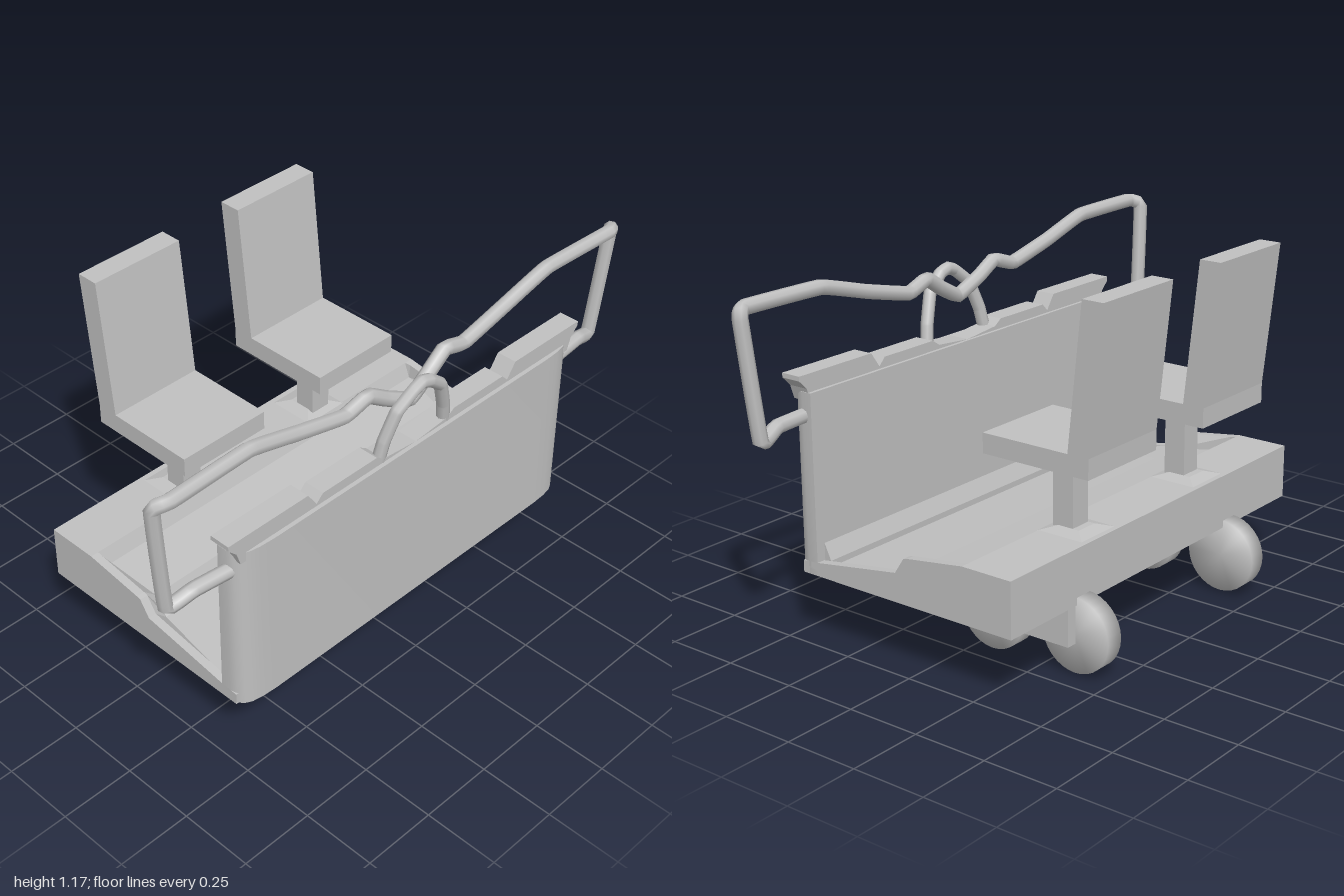
import * as THREE from 'three';
import { mergeVertices, toCreasedNormals } from 'three/addons/utils/BufferGeometryUtils.js';

export function createModel() {
  const model = new THREE.Group();
  model.name = 'twoSeatCart';
  const grey = new THREE.MeshStandardMaterial({ color: 0xc0c0c0, side: THREE.DoubleSide });
  grey.name = 'plain grey';

  const add = (name, geometry, x = 0, y = 0, z = 0) => {
    const mesh = new THREE.Mesh(geometry, grey);
    mesh.name = name;
    mesh.position.set(x, y, z);
    model.add(mesh);
    return mesh;
  };
  const extrude = (points, depth) => {
    const shape = new THREE.Shape(points.map(([x, y]) => new THREE.Vector2(x, y)));
    return new THREE.ExtrudeGeometry(shape, { depth, bevelEnabled: false }).translate(0, 0, -depth / 2);
  };
  const mirrored = (half) => [...half, ...half.filter(([u]) => u !== 0).reverse().map(([u, v]) => [-u, v])];

  // Chassis: stations of x, rim height, floor height, floor half width
  const stations = [
    [-0.38, 0.407, 0.407, 0.7], [-0.2, 0.407, 0.407, 0.7], [-0.18, 0.404, 0.355, 0.7],
    [0.01, 0.377, 0.335, 0.66], [0.025, 0.373, 0.3, 0.66], [0.06, 0.32, 0.28, 0.665],
    [0.38, 0.27, 0.25, 0.7], [0.44, 0.265, 0.25, 0.7],
  ];
  const base = 0.226, side = 0.733, rim = 0.705;
  const positions = [];
  const loops = stations.map(([x, top, floor, w]) => [
    [x, base, -side], [x, top, -side], [x, top, -rim], [x, floor, -w],
    [x, floor, w], [x, top, rim], [x, top, side], [x, base, side],
  ]);
  for (let i = 0; i < loops.length - 1; i++) {
    for (let k = 0; k < 8; k++) {
      const n = (k + 1) % 8;
      const [a, b, c, d] = [loops[i][k], loops[i][n], loops[i + 1][k], loops[i + 1][n]];
      positions.push(...a, ...b, ...c, ...b, ...d, ...c);
    }
  }
  const r = loops[0];
  positions.push(...r[0], ...r[6], ...r[1], ...r[0], ...r[7], ...r[6]);
  const chassis = new THREE.BufferGeometry();
  chassis.setAttribute('position', new THREE.Float32BufferAttribute(positions, 3));
  chassis.computeVertexNormals();
  add('chassis', chassis);
  add('floorFillet', extrude([[0.355, 0.25], [0.39, 0.25], [0.39, 0.325], [0.38, 0.325], [0.355, 0.272]], 1.4));

  // Front panel with rounded outer corners
  const footprint = [
    [0.38, 0.733], [0.415, 0.733], [0.437, 0.727], [0.455, 0.712],
    [0.466, 0.69], [0.472, 0.655], [0.475, 0.6],
  ];
  const outline = [...footprint, ...footprint.slice().reverse().map(([x, z]) => [x, -z])];
  const panel = extrude(outline, 0.586).rotateX(-Math.PI / 2).translate(0, base + 0.293, 0);
  add('frontPanel', toCreasedNormals(panel, 0.6));

  // Scalloped lip along the panel top
  const lip = mirrored([
    [0.72, 0.78], [0.735, 0.825], [0.765, 0.855], [0.765, 0.87], [0.455, 0.87], [0.42, 0.82],
    [0.395, 0.845], [0.17, 0.845], [0.14, 0.825], [0, 0.812],
  ]);
  add('panelLip', extrude(lip, 0.07).rotateY(Math.PI / 2), 0.426);

  // Bent tubes, given as half paths of x, y, z and mirrored
  const tube = (name, half, radius) => {
    const path = [...half, ...half.slice(0, -1).reverse().map(([x, y, z]) => [x, y, -z])];
    const curve = new THREE.CatmullRomCurve3(
      path.map((p) => new THREE.Vector3(...p)), false, 'catmullrom', 0.12);
    add(name, new THREE.TubeGeometry(curve, 160, radius, 8));
  };
  tube('guardRail', [
    [0.42, 0.735, 0.70], [0.405, 0.735, 0.85], [0.385, 0.712, 0.935], [0.40, 1.09, 0.975],
    [0.425, 1.112, 0.935], [0.415, 1.112, 0.636], [0.41, 1.06, 0.444], [0.41, 1.016, 0.257],
    [0.415, 1.043, 0.166], [0.42, 1.0, 0.096], [0.43, 0.953, 0],
  ], 0.024);
  tube('centreHoop', [
    [0.44, 0.8, 0.145], [0.45, 0.88, 0.13], [0.465, 0.975, 0.095], [0.474, 1.025, 0.035], [0.474, 1.037, 0],
  ], 0.021);

  // Seats on posts
  const seatProfile = [
    [-0.45, 0.645], [-0.06, 0.645], [-0.06, 0.71], [-0.375, 0.71],
    [-0.425, 1.175], [-0.5, 1.175], [-0.45, 0.71],
  ];
  for (const [label, z] of [['left', 0.29], ['right', -0.297]]) {
    add(label + 'Seat', extrude(seatProfile, 0.337), 0, 0, z);
    add(label + 'SeatPost', new THREE.BoxGeometry(0.075, 0.25, 0.075), -0.258, 0.525, z);
    const foot = new THREE.CylinderGeometry(0.055, 0.12, 0.014, 4, 1).rotateY(Math.PI / 4).toNonIndexed();
    foot.computeVertexNormals();
    add(label + 'SeatFoot', foot, -0.28, 0.413, z);
  }

  // Wheels with softly shaded faces, and the bars outside them
  const wheel = new THREE.CylinderGeometry(0.123, 0.123, 0.064, 32).rotateX(Math.PI / 2);
  wheel.deleteAttribute('normal');
  wheel.deleteAttribute('uv');
  const softWheel = mergeVertices(wheel);
  softWheel.computeVertexNormals();
  for (const [label, s] of [['left', 1], ['right', -1]]) {
    add(label + 'RearWheel', softWheel, -0.373, 0.128, s * 0.393);
    add(label + 'FrontWheel', softWheel, -0.06, 0.123, s * 0.4);
    add(label + 'WheelBar', new THREE.BoxGeometry(0.34, 0.13, 0.04), -0.205, 0.166, s * 0.442);
  }
  return model;
}
